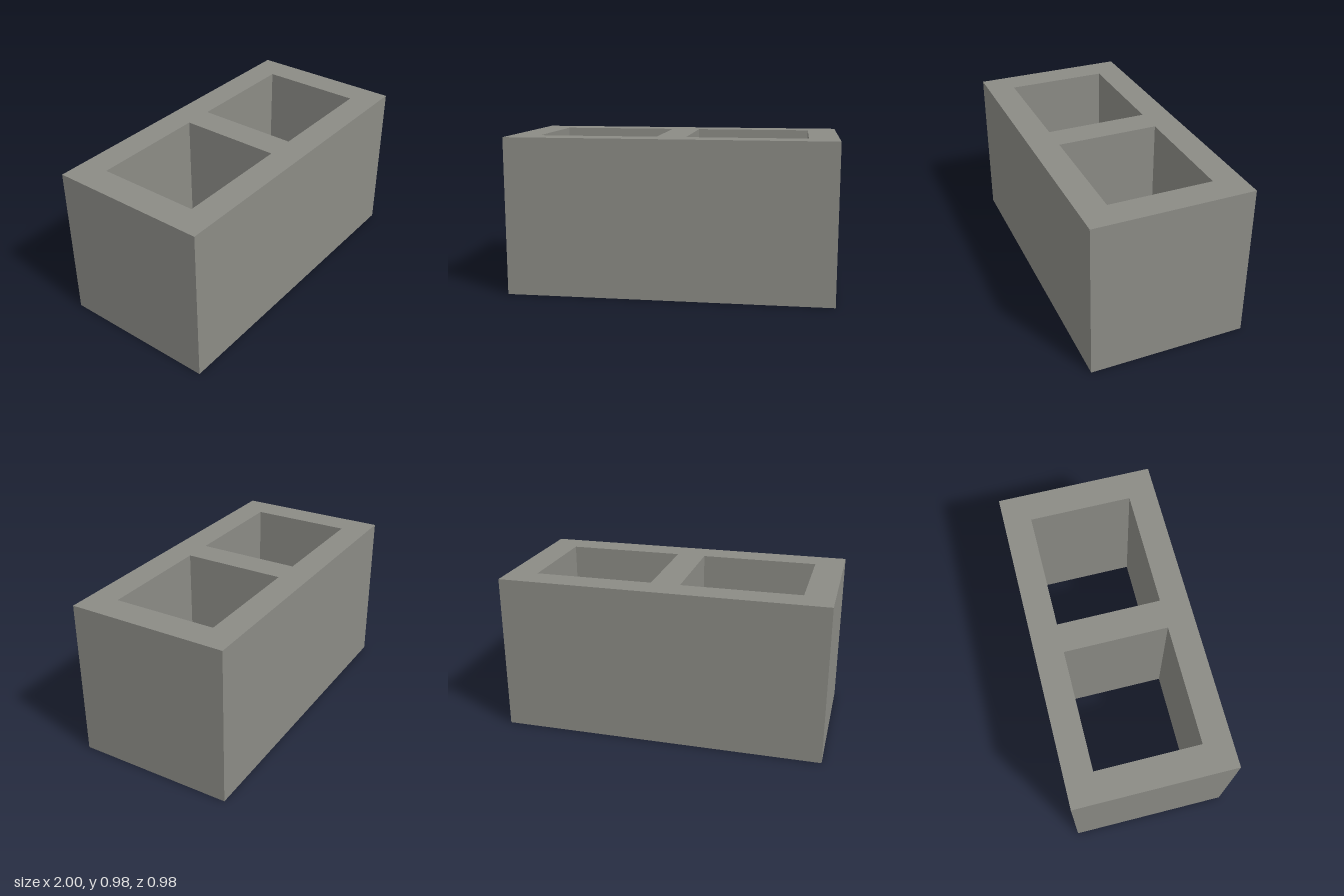
import * as THREE from 'three';

const WIDTH = 2, HEIGHT = 0.975, DEPTH = 0.975;
const CORE_WIDTH = 0.73, CORE_DEPTH = 0.635, CORE_X = 0.455;

// Traces a rectangle centred on (cx, 0) onto a shape or path
function rectangle(path, cx, width, depth) {
  const x = width / 2, z = depth / 2;
  path.moveTo(cx - x, -z);
  path.lineTo(cx + x, -z);
  path.lineTo(cx + x, z);
  path.lineTo(cx - x, z);
  path.closePath();
  return path;
}

export function createModel() {
  const concrete = new THREE.MeshStandardMaterial({ color: 0x8b8b85 });
  concrete.name = 'concrete';

  // Block plan with two hollow cores running right through
  const plan = rectangle(new THREE.Shape(), 0, WIDTH, DEPTH);
  for (const side of [-1, 1]) {
    plan.holes.push(rectangle(new THREE.Path(), side * CORE_X, CORE_WIDTH, CORE_DEPTH));
  }

  // Extrude the plan and stand it upright
  const geometry = new THREE.ExtrudeGeometry(plan, { depth: HEIGHT, bevelEnabled: false });
  geometry.rotateX(-Math.PI / 2);

  const block = new THREE.Mesh(geometry, concrete);
  block.name = 'hollowBlock';

  const model = new THREE.Group();
  model.name = 'concreteBlock';
  model.add(block);
  return model;
}
